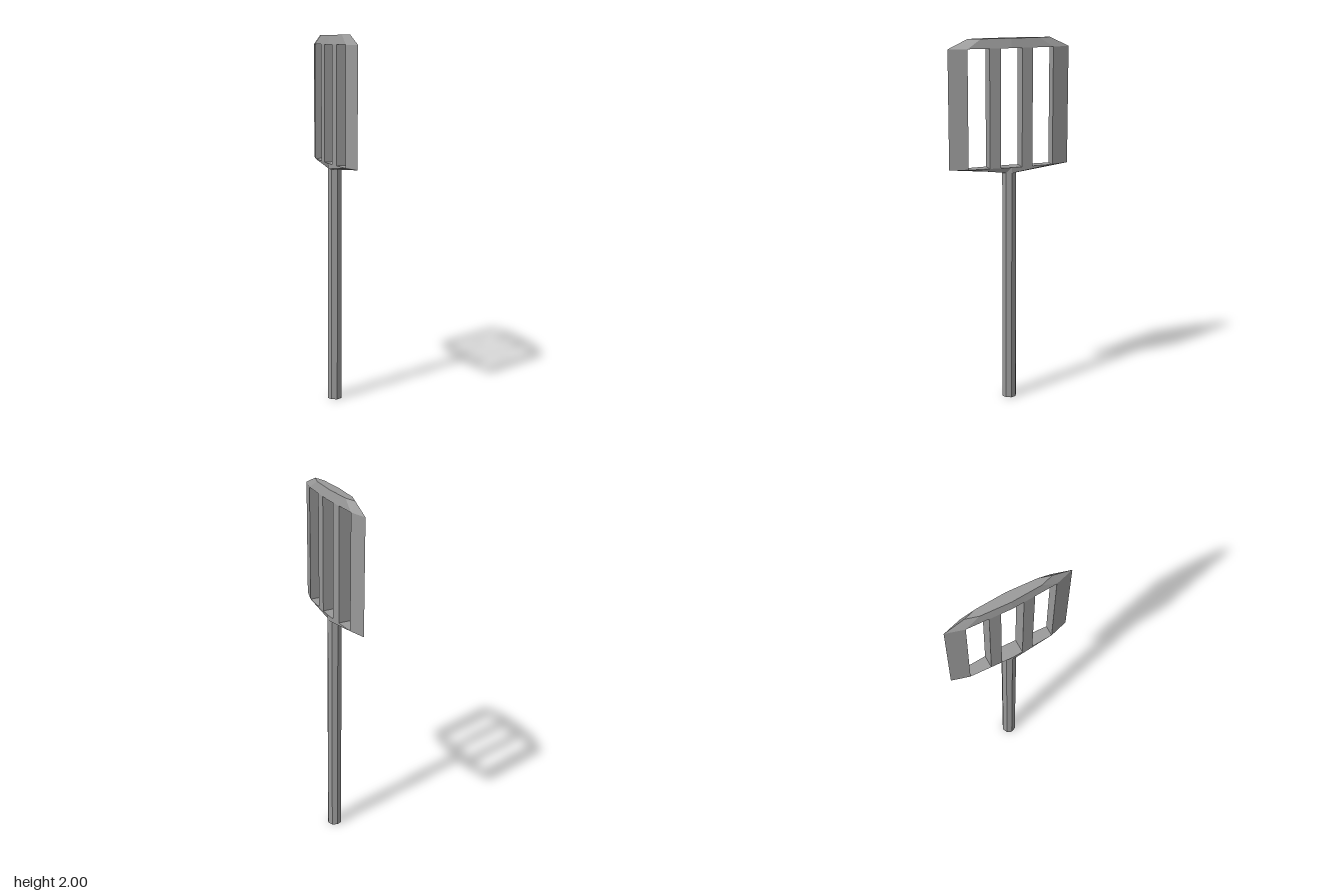
import * as THREE from 'three';

const HALF_X = 0.04, HALF_Z = 0.336, GRIP = 0.04;
const Y_THROAT = 1.29, Y_SLOT = 1.32, Y_CAP = 1.95, Y_TOP = 2;
const C45 = Math.SQRT1_2;

// Octagonal loft between two ellipses given as [halfX, halfZ]
function octLoft(y0, y1, bottom, top) {
  const geo = new THREE.CylinderGeometry(1, 1, y1 - y0, 8, 1);
  const p = geo.attributes.position;
  for (let i = 0; i < p.count; i++) {
    const [sx, sz] = p.getY(i) > 0 ? top : bottom;
    p.setX(i, p.getX(i) * sx);
    p.setZ(i, p.getZ(i) * sz);
  }
  geo.translate(0, (y0 + y1) / 2, 0);
  const flat = geo.toNonIndexed();
  flat.computeVertexNormals();
  return flat;
}

// Half thickness of the octagonal blade between its centre and shoulder
function halfThickness(z) {
  return HALF_X * (1 - (1 - C45) * Math.abs(z) / (HALF_Z * C45));
}

// Upright bar with a plan outline of [x, z] points
function bar(points) {
  const shape = new THREE.Shape(points.map(([x, z]) => new THREE.Vector2(x, -z)));
  const geo = new THREE.ExtrudeGeometry(shape, { depth: Y_CAP - Y_SLOT, bevelEnabled: false });
  return geo.rotateX(-Math.PI / 2).translate(0, Y_SLOT, 0);
}

export function createModel() {
  const group = new THREE.Group();
  const grey = new THREE.MeshStandardMaterial({ color: 0x999999, flatShading: true });
  grey.name = 'grey metal';
  const add = (name, geo) => {
    const mesh = new THREE.Mesh(geo, grey);
    mesh.name = name;
    group.add(mesh);
  };

  add('handle', octLoft(0, Y_THROAT, [GRIP, GRIP], [GRIP, GRIP]));

  // Solid bottom and bevelled top of the blade
  add('bladeBase', octLoft(Y_THROAT, Y_SLOT, [GRIP, GRIP], [HALF_X, HALF_Z]));
  add('bladeTip', octLoft(Y_CAP, Y_TOP, [HALF_X, HALF_Z], [0.028, 0.228]));

  // Bars between the three slots, mirrored front to back
  for (const [s, side] of [[1, 'front'], [-1, 'back']]) {
    const a = 0.06, b = 0.12, ta = halfThickness(a), tb = halfThickness(b);
    add(side + 'InnerBar', bar([[-ta, s * a], [ta, s * a], [tb, s * b], [-tb, s * b]]));
    const t = HALF_X * C45;
    add(side + 'EdgeBar', bar([[-t, s * HALF_Z * C45], [t, s * HALF_Z * C45], [0, s * HALF_Z]]));
  }
  return group;
}
